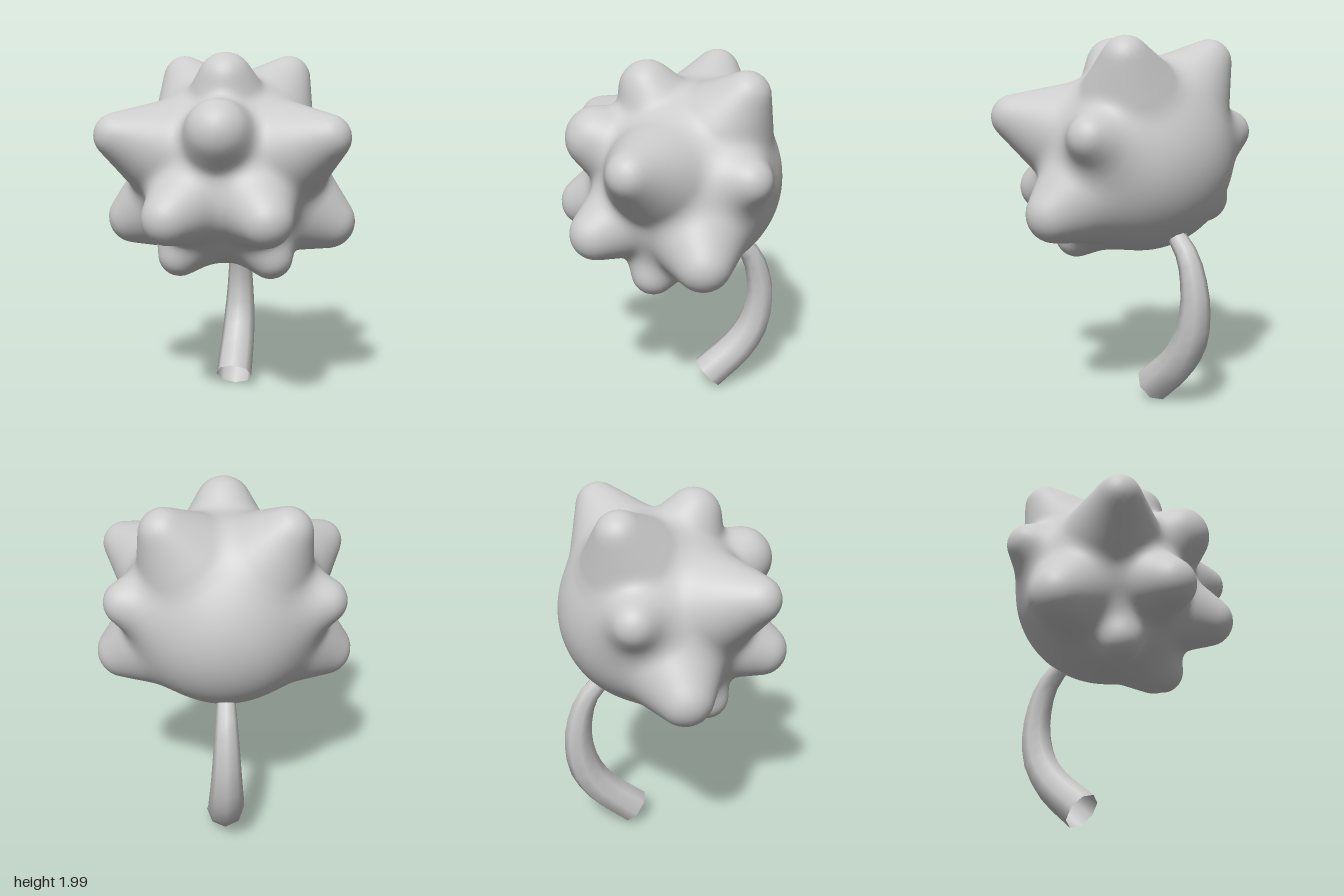
import * as THREE from 'three';
import { mergeVertices } from 'three/addons/utils/BufferGeometryUtils.js';

const V = (x, y, z) => new THREE.Vector3(x, y, z);
const CENTRE = V(0, 1.35, -0.08);
const BODY_RADIUS = 0.495;

// Broad cones with rounded tips: centre of the tip ball, tip radius, root radius; x > 0 ones are mirrored
const SPIKES = [
  [0, 1.85, 0.14, 0.15, 0.42],      // crown
  [0, 1.6, 0.41, 0.17, 0.39],       // brow
  [0.3, 1.86, -0.31, 0.125, 0.48],  // rear crown pair
  [0.55, 1.57, 0.32, 0.12, 0.47],   // upper side pair
  [0.25, 1.16, 0.46, 0.14, 0.41],   // lower front pair
  [0.55, 1.08, -0.04, 0.15, 0.47],  // lower side pair
  [0.25, 0.91, 0.16, 0.12, 0.43],   // underside pair
  [0.5, 1.48, -0.28, 0.12, 0.45],   // rear side pair
].flatMap(([x, y, z, tip, root]) => (x ? [1, -1] : [1]).map((s) => {
  const axis = V(s * x, y, z).sub(CENTRE);
  const length = axis.length();
  const taper = (root - tip) / length;
  return { axis: axis.normalize(), length, tip, root, slope: taper / Math.sqrt(1 - taper * taper) };
}));

// Smooth union of the round core and all spikes, relative to CENTRE
function fieldDistance(p) {
  let d = p.length() - BODY_RADIUS;
  for (const { axis, length, tip, root, slope } of SPIKES) {
    const along = p.dot(axis);
    const across = Math.sqrt(Math.max(p.lengthSq() - along * along, 0));
    const foot = THREE.MathUtils.clamp(along - across * slope, 0, length);
    const e = Math.hypot(across, along - foot) - THREE.MathUtils.lerp(root, tip, foot / length);
    const k = 0.06;
    const h = Math.max(k - Math.abs(d - e), 0) / k;
    d = Math.min(d, e) - h * h * k * 0.25;
  }
  return d;
}

// Sphere whose vertices are pulled inwards onto the blended spiky surface
function spikyGeometry() {
  let geometry = new THREE.IcosahedronGeometry(1, 34);
  geometry.deleteAttribute('normal');
  geometry.deleteAttribute('uv');
  geometry = mergeVertices(geometry, 1e-5);
  const pos = geometry.attributes.position;
  const dir = V(0, 0, 0), p = V(0, 0, 0);
  for (let i = 0; i < pos.count; i++) {
    dir.fromBufferAttribute(pos, i).normalize();
    let r = 1.1;
    for (let step = 0; step < 60; step++) {
      const d = fieldDistance(p.copy(dir).multiplyScalar(r));
      if (d < 0.0005) break;
      r -= d * 0.9;
    }
    p.copy(dir).multiplyScalar(r).add(CENTRE);
    pos.setXYZ(i, p.x, p.y, p.z);
  }
  geometry.computeVertexNormals();
  return geometry;
}

// Curved stem that thickens towards its open end: [y, z, radius]
const STEM = [
  [1.04, -0.27, 0.045], [0.97, -0.35, 0.047], [0.85, -0.46, 0.06], [0.7, -0.51, 0.072],
  [0.56, -0.52, 0.082], [0.395, -0.485, 0.095], [0.255, -0.395, 0.102], [0.09, -0.21, 0.107],
];

function stemGeometry(rings, sides) {
  const curve = new THREE.CatmullRomCurve3(STEM.map(([y, z]) => V(0, y, z)));
  const geometry = new THREE.TubeGeometry(curve, rings, 1, sides);
  const pos = geometry.attributes.position;
  const p = V(0, 0, 0);
  for (let i = 0; i <= rings; i++) {
    const u = i / rings;
    const c = curve.getPointAt(u);
    const f = curve.getUtoTmapping(u) * (STEM.length - 1);
    const a = Math.min(Math.floor(f), STEM.length - 2);
    const radius = THREE.MathUtils.lerp(STEM[a][2], STEM[a + 1][2], f - a);
    for (let j = 0; j <= sides; j++) {
      const n = i * (sides + 1) + j;
      p.fromBufferAttribute(pos, n).sub(c).multiplyScalar(radius).add(c);
      pos.setXYZ(n, p.x, p.y, p.z);
    }
  }
  return geometry;
}

export function createModel() {
  const model = new THREE.Group();
  const add = (name, geometry, side) => {
    const mesh = new THREE.Mesh(geometry, new THREE.MeshStandardMaterial({ color: 0xcccccc, side }));
    mesh.name = name;
    model.add(mesh);
  };
  add('spikyHead', spikyGeometry(), THREE.FrontSide);
  add('stem', stemGeometry(14, 8), THREE.DoubleSide);
  return model;
}
